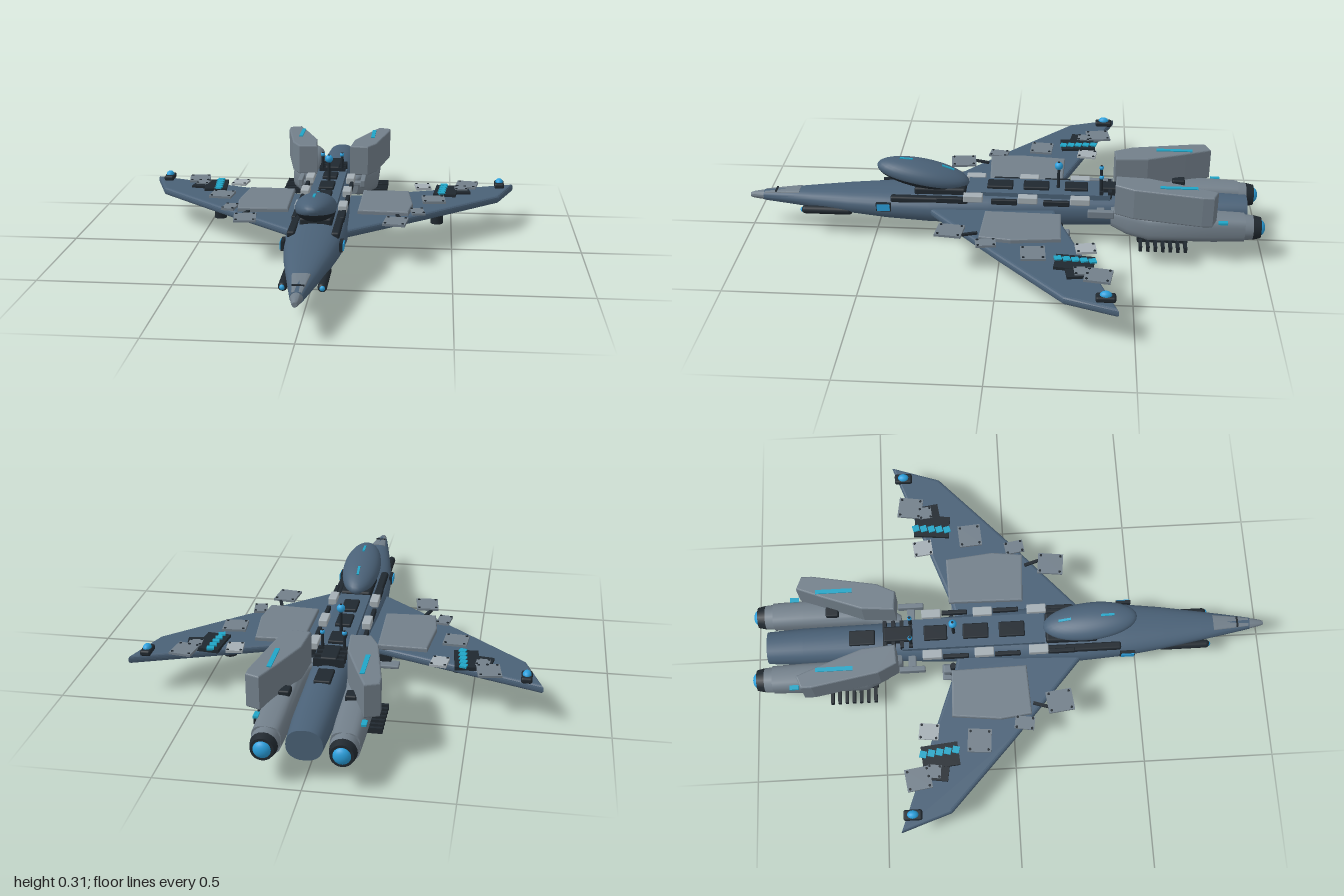
import * as THREE from 'three';
import { toCreasedNormals } from 'three/addons/utils/BufferGeometryUtils.js';
import { RoundedBoxGeometry } from 'three/addons/geometries/RoundedBoxGeometry.js';

const mat = (name, color) => {
  const m = new THREE.MeshStandardMaterial({ color });
  m.name = name;
  return m;
};
const hull = mat('slate hull', 0x4a6177);
const grey = mat('grey armour', 0x727f8a);
const dark = mat('dark metal', 0x20282f);
const light = mat('light panel', 0xa4aeb4);
const glow = mat('blue glow', 0x2a9fdc);
const teal = mat('teal strip', 0x20a4c6);

// Closed body through sections [z, centreY, halfWidth, halfHeight, centreX]; power > 2 squares it off
function loft(sections, power = 2, n = 28) {
  const pos = [], idx = [];
  const bend = (v) => Math.sign(v) * Math.pow(Math.abs(v), 2 / power);
  for (const [z, y, w, h, x = 0] of sections)
    for (let j = 0; j < n; j++) {
      const a = (j / n) * Math.PI * 2;
      pos.push(x + w * bend(Math.cos(a)), y + h * bend(Math.sin(a)), z);
    }
  const last = sections.length - 1;
  for (let i = 0; i < last; i++)
    for (let j = 0; j < n; j++) {
      const k = (j + 1) % n, a = i * n + j, b = i * n + k;
      idx.push(a, b, a + n, b, b + n, a + n);
    }
  for (let j = 1; j < n - 1; j++) {
    idx.push(0, j + 1, j);
    idx.push(last * n, last * n + j, last * n + j + 1);
  }
  const g = new THREE.BufferGeometry();
  g.setAttribute('position', new THREE.Float32BufferAttribute(pos, 3));
  g.setIndex(idx);
  return toCreasedNormals(g, 0.6);
}

// Plan outline [x, z] made into a slab between two heights
function slab(points, y0, y1, bevel) {
  const shape = new THREE.Shape(points.map(([x, z]) => new THREE.Vector2(x, z)));
  const g = new THREE.ExtrudeGeometry(shape, {
    depth: y1 - y0 - 2 * bevel, bevelThickness: bevel, bevelSize: bevel,
    bevelOffset: -bevel, bevelSegments: 3,
  });
  g.rotateX(Math.PI / 2);
  g.translate(0, y1 - bevel, 0);
  return g;
}

export function createModel() {
  const root = new THREE.Group();
  root.name = 'starfighter';
  const add = (name, geo, material, x = 0, y = 0, z = 0, ry = 0) => {
    const m = new THREE.Mesh(geo, material);
    m.name = name;
    m.position.set(x, y, z);
    m.rotation.y = ry;
    root.add(m);
    return m;
  };
  const box = (name, material, w, h, d, x, y, z, ry = 0) =>
    add(name, new THREE.BoxGeometry(w, h, d), material, x, y, z, ry);
  const rbox = (name, material, w, h, d, x, y, z, r = 0.01) =>
    add(name, new RoundedBoxGeometry(w, h, d, 2, r), material, x, y, z);
  const tube = (name, material, r0, r1, len, x, y, z, alongZ = false) => {
    const g = new THREE.CylinderGeometry(r0, r1, len, 20);
    if (alongZ) g.rotateX(-Math.PI / 2); // r0 end points to the rear
    return add(name, g, material, x, y, z);
  };

  // Fuselage and nose
  add('fuselage', loft([
    [-0.94, 0.132, 0.062, 0.055], [-0.8, 0.132, 0.07, 0.06], [-0.45, 0.13, 0.075, 0.066],
    [-0.2, 0.13, 0.09, 0.07], [0.05, 0.13, 0.106, 0.07], [0.28, 0.132, 0.114, 0.065],
    [0.45, 0.133, 0.104, 0.057], [0.6, 0.134, 0.084, 0.047], [0.75, 0.134, 0.058, 0.036],
    [0.85, 0.134, 0.04, 0.028], [0.945, 0.133, 0.022, 0.02],
  ], 2.3), hull);
  add('noseTip', loft([[0.945, 0.133, 0.021, 0.019], [0.985, 0.132, 0.013, 0.014], [1, 0.131, 0.008, 0.009]]), grey);
  add('nosePlate', loft([[0.8, 0.158, 0.032, 0.009], [0.87, 0.152, 0.025, 0.008], [0.94, 0.146, 0.017, 0.007]], 4), grey);
  box('noseBand', dark, 0.042, 0.004, 0.007, 0, 0.159, 0.895);

  // Canopy tilted with its front end up, dark tub below and lamps on the ridge
  const shell = (from, sweep, grow) => {
    const g = new THREE.SphereGeometry(1, 32, 20, 0, Math.PI * 2, from, sweep);
    g.scale(0.075 + grow, 0.051 + grow, 0.182 + grow);
    return g;
  };
  const canopy = add('canopy', shell(0, Math.PI, 0), hull, 0, 0.25, 0.31);
  canopy.rotation.x = -0.19;
  const tub = new THREE.Mesh(shell(Math.PI * 0.6, Math.PI * 0.4, 0.001), dark);
  tub.name = 'canopyTub';
  canopy.add(tub);
  for (const t of [0.075, -0.09]) {
    const lamp = new THREE.Mesh(new THREE.BoxGeometry(0.009, 0.006, 0.05), teal);
    lamp.name = 'canopyLight';
    lamp.position.set(0, 0.051 * Math.sqrt(1 - (t / 0.182) ** 2), t);
    lamp.rotation.x = t * 1.71;
    canopy.add(lamp);
  }
  rbox('canopyMount', dark, 0.12, 0.05, 0.2, 0, 0.19, 0.24);

  // Dorsal spine with its hatches
  box('spine', hull, 0.12, 0.02, 0.55, 0, 0.196, -0.14);
  for (const [z, d] of [[-0.57, 0.1], [-0.285, 0.09], [-0.13, 0.1], [0.01, 0.1]])
    rbox('spineHatch', dark, 0.06, 0.03, d, 0, z < -0.5 ? 0.187 : 0.203, z, 0.005);
  rbox('spineMachinery', dark, 0.06, 0.05, 0.11, 0, 0.2, -0.43, 0.006);
  for (let i = 0; i < 4; i++)
    box('machineryRib', dark, 0.11, 0.03, 0.014, 0, 0.205, -0.48 + i * 0.033);

  // Antennas
  const antenna = (x, z, top, r) => {
    tube('mast', dark, 0.005, 0.007, top - 0.19, x, (top + 0.19) / 2, z);
    add('mastLight', new THREE.SphereGeometry(r, 16, 12), glow, x, top - r, z);
  };
  antenna(0, -0.215, 0.315, 0.016);
  antenna(-0.04, -0.38, 0.285, 0.009);
  antenna(0.04, -0.38, 0.285, 0.009);

  for (const s of [1, -1]) {
    const flip = (pts) => pts.map(([x, z]) => [s * x, z]);

    // Swept wing and its root armour
    add('wing', slab(flip([[0.05, 0.32], [0.115, 0.27], [0.42, 0], [0.69, -0.25], [0.755, -0.44], [0.14, -0.22], [0.05, -0.2]]), 0.12, 0.151, 0.012), hull);
    add('wingRootPanel', slab(flip([[0.135, 0.06], [0.33, 0.07], [0.345, -0.05], [0.325, -0.235], [0.14, -0.23]]), 0.145, 0.168, 0.006), grey);

    // Loose armour plates, each [x, z, width, depth, turn, material]
    for (const [x, z, w, d, turn, m] of [
      [0.56, -0.37, 0.085, 0.095, -0.15, grey], [0.38, -0.325, 0.062, 0.075, 0.12, light],
      [0.425, -0.135, 0.09, 0.09, 0.08, grey], [0.285, 0.18, 0.085, 0.1, -0.12, grey],
      [0.365, 0.04, 0.05, 0.075, 0.15, grey], [0.535, -0.31, 0.05, 0.05, 0.1, grey],
    ]) {
      const plate = box('armourPlate', m, w, 0.009, d, s * x, 0.161, z, s * turn);
      for (const a of [-1, 1])
        for (const b of [-1, 1]) {
          const rivet = new THREE.Mesh(new THREE.CylinderGeometry(0.005, 0.005, 0.004, 8), dark);
          rivet.name = 'rivet';
          rivet.position.set(a * w * 0.39, 0.005, b * d * 0.39);
          plate.add(rivet);
        }
    }
    box('plateBracket', dark, 0.012, 0.008, 0.09, s * 0.3, 0.157, 0.12, s * 0.3);

    // Wing machinery with glowing strips
    box('wingMachinery', dark, 0.09, 0.014, 0.14, s * 0.475, 0.155, -0.285, -s * 0.1);
    box('wingMachinery', dark, 0.07, 0.014, 0.07, s * 0.535, 0.153, -0.29, s * 0.15);
    for (let i = 0; i < 5; i++)
      box('wingGlow', teal, 0.026, 0.007, 0.026, s * (0.468 - i * 0.003), 0.164, -0.35 + i * 0.031, s * 0.25);

    // Wing tip lamp and underwing pod
    rbox('tipLampBase', dark, 0.04, 0.022, 0.07, s * 0.695, 0.16, -0.395, 0.008);
    const lamp = new THREE.SphereGeometry(0.016, 16, 12);
    lamp.scale(1, 1, 1.35);
    add('tipLamp', lamp, glow, s * 0.695, 0.17, -0.395);
    tube('underwingPod', dark, 0.025, 0.025, 0.075, s * 0.44, 0.092, -0.17);

    // Side blocks along the spine
    for (const z of [-0.3, -0.1, 0.11]) {
      rbox('spineBlock', light, 0.034, 0.028, 0.075, s * 0.083, 0.194, z, 0.004);
      rbox('spineRail', dark, 0.016, 0.022, 0.1, s * 0.09, 0.183, z + 0.09, 0.004);
    }
    rbox('canopySill', dark, 0.03, 0.025, 0.3, s * 0.08, 0.178, 0.28, 0.008);
    rbox('sideFin', grey, 0.02, 0.03, 0.1, s * 0.13, 0.165, -0.38, 0.004);
    rbox('sideFinMount', grey, 0.06, 0.016, 0.03, s * 0.1, 0.155, -0.38, 0.004);

    // Cheek sensor and nose pod
    box('cheekFrame', dark, 0.012, 0.034, 0.058, s * 0.104, 0.152, 0.455);
    box('cheekLight', glow, 0.014, 0.026, 0.05, s * 0.107, 0.152, 0.455);
    const pod = new THREE.CapsuleGeometry(0.016, 0.17, 6, 16);
    pod.rotateX(Math.PI / 2);
    add('nosePod', pod, dark, s * 0.066, 0.108, 0.685);
    add('nosePodEye', new THREE.SphereGeometry(0.01, 12, 8), glow, s * 0.067, 0.108, 0.78);

    // Engine nacelle, nozzle and exhaust
    add('nacelle', loft([
      [-0.92, 0.13, 0.05, 0.05, s * 0.13], [-0.8, 0.13, 0.053, 0.055, s * 0.13],
      [-0.56, 0.13, 0.055, 0.056, s * 0.13], [-0.48, 0.13, 0.04, 0.052, s * 0.105], [-0.42, 0.13, 0.025, 0.035, s * 0.08],
    ], 3), grey);
    tube('nozzleRing', grey, 0.046, 0.05, 0.04, s * 0.13, 0.13, -0.935, true);
    tube('nozzle', dark, 0.04, 0.047, 0.03, s * 0.13, 0.13, -0.967, true);
    const flame = new THREE.SphereGeometry(0.031, 20, 14);
    flame.scale(1, 1, 0.7);
    add('exhaustGlow', flame, glow, s * 0.13, 0.13, -0.978);
    box('nacelleLight', teal, 0.018, 0.008, 0.035, s * 0.18, 0.172, -0.835);

    // Cooling vanes under the nacelle
    for (let i = 0; i < 7; i++)
      box('coolingVane', dark, 0.1, 0.021, 0.012, s * 0.173, 0.073, -0.7 + i * 0.028);
    box('vaneRail', dark, 0.03, 0.016, 0.19, s * 0.15, 0.078, -0.615);

    // Upright armoured tail block
    add('tailBlock', slab(flip([[0.07, -0.435], [0.145, -0.43], [0.18, -0.5], [0.225, -0.75], [0.225, -0.79], [0.175, -0.81], [0.135, -0.71], [0.08, -0.56]]), 0.175, 0.3, 0.006), grey);
    box('tailBlockLight', teal, 0.016, 0.008, 0.14, s * 0.157, 0.3, -0.665);
    rbox('tailBlockBrace', dark, 0.04, 0.04, 0.05, s * 0.115, 0.18, -0.685, 0.006);

    // Landing leg with skid
    tube('landingLeg', dark, 0.012, 0.014, 0.08, s * 0.1, 0.06, -0.225);
    rbox('legHousing', grey, 0.034, 0.044, 0.08, s * 0.1, 0.05, -0.225, 0.008);
    const hub = new THREE.CylinderGeometry(0.014, 0.014, 0.006, 16);
    hub.rotateZ(Math.PI / 2);
    add('legHub', hub, dark, s * 0.118, 0.05, -0.225);
    rbox('skid', grey, 0.066, 0.016, 0.09, s * 0.1, 0.023, -0.225, 0.007);
    rbox('skidPad', grey, 0.066, 0.018, 0.03, s * 0.1, 0.009, -0.225, 0.005);

    // Belly equipment under the wing root
    rbox('bellyBox', dark, 0.1, 0.035, 0.09, s * 0.14, 0.102, -0.16, 0.006);
    rbox('bellyPanel', dark, 0.09, 0.016, 0.07, s * 0.22, 0.106, -0.15, 0.005);
    rbox('bellyStep', grey, 0.1, 0.014, 0.05, s * 0.17, 0.073, -0.2, 0.005);
  }
  return root;
}
